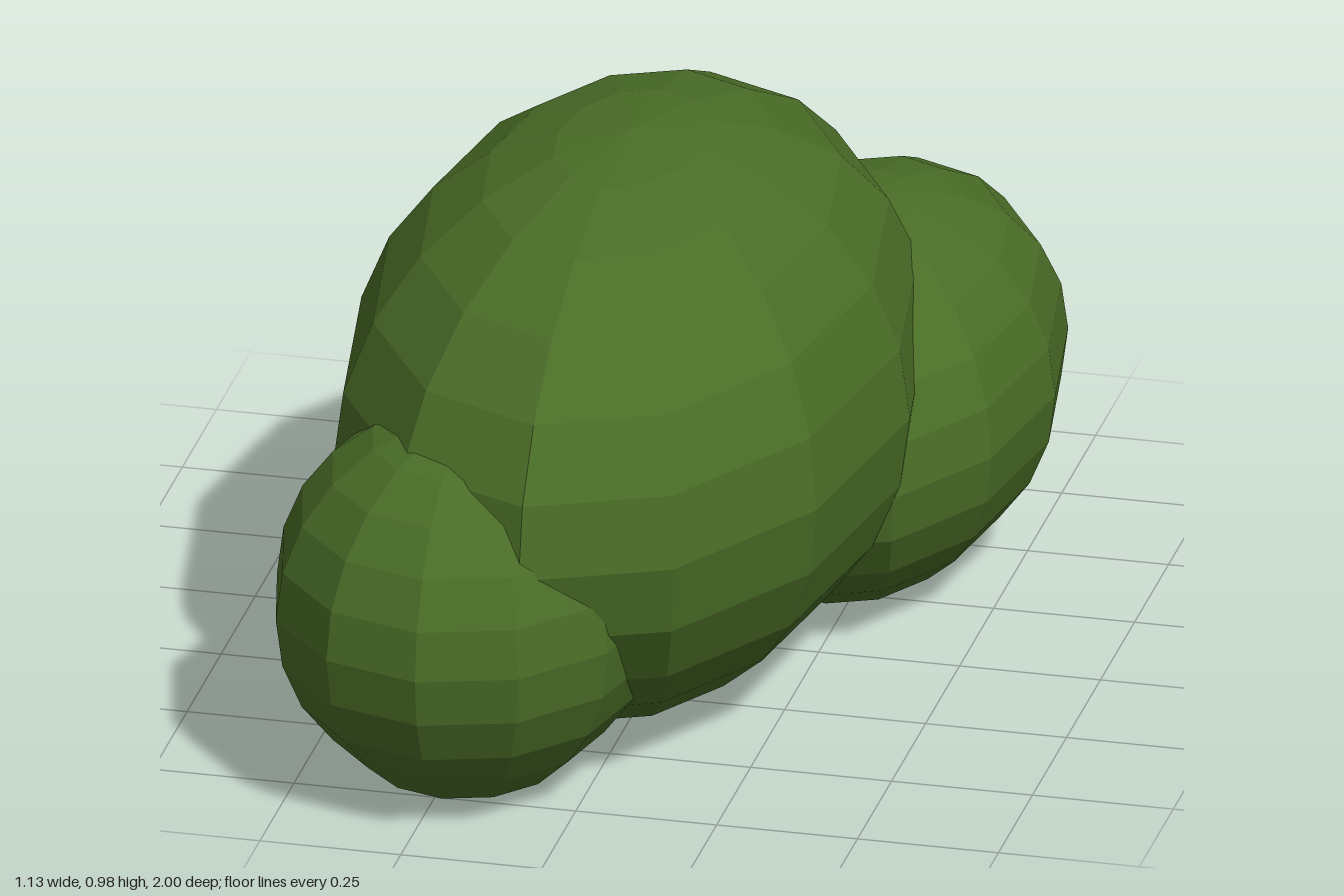
import * as THREE from 'three';

export function createModel() {
  const group = new THREE.Group();
  group.name = 'bush';

  const leafGreen = new THREE.MeshStandardMaterial({ color: 0x4a6d27, flatShading: true });
  leafGreen.name = 'leafGreen';

  // Faceted ellipsoid whose underside is settled towards a flat base
  function addClump(name, position, radii) {
    const geometry = new THREE.SphereGeometry(1, 12, 12);
    const p = geometry.attributes.position;
    for (let i = 0; i < p.count; i++) {
      const y = p.getY(i);
      if (y < -0.8) p.setY(i, -0.93 + (y + 0.93) * 0.5);
    }
    geometry.scale(...radii);
    geometry.computeVertexNormals();
    const mesh = new THREE.Mesh(geometry, leafGreen);
    mesh.name = name;
    mesh.position.set(...position);
    group.add(mesh);
  }

  addClump('mainClump', [-0.07, 0.485, 0.055], [0.495, 0.495, 0.825]);
  addClump('frontClump', [-0.225, 0.33, 0.605], [0.34, 0.34, 0.395]);
  addClump('backClump', [0.225, 0.33, -0.435], [0.34, 0.34, 0.565]);

  return group;
}
